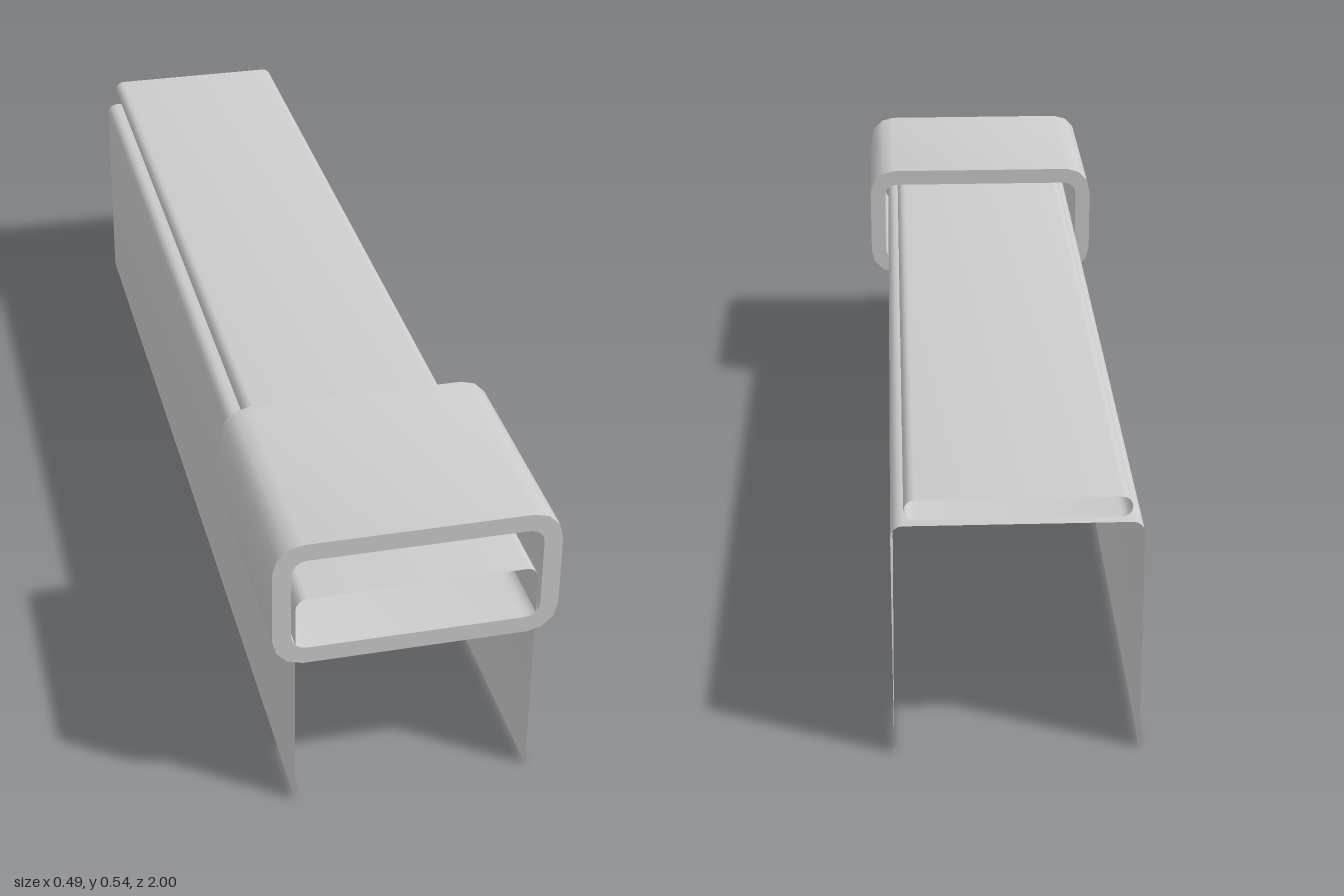
import * as THREE from 'three';
import { toCreasedNormals } from 'three/addons/utils/BufferGeometryUtils.js';

const solid = new THREE.MeshStandardMaterial({ color: 0xcccccc });
const sheet = new THREE.MeshStandardMaterial({ color: 0xcccccc, side: THREE.DoubleSide });

// points along an arc in the xy plane
function arc(cx, cy, r, from, to, steps) {
  return Array.from({ length: steps + 1 }, (_, i) => {
    const a = from + ((to - from) * i) / steps;
    return new THREE.Vector2(cx + r * Math.cos(a), cy + r * Math.sin(a));
  });
}

// counter-clockwise rounded rectangle
function roundedRect(halfW, y0, y1, r, steps) {
  const q = Math.PI / 2;
  const centres = [[halfW - r, y1 - r], [r - halfW, y1 - r], [r - halfW, y0 + r], [halfW - r, y0 + r]];
  return centres.flatMap(([x, y], i) => arc(x, y, r, i * q, (i + 1) * q, steps));
}

// thin surface: a profile carried along z, with open ends
function sweep(profile, z0, z1) {
  const pos = [], idx = [];
  profile.forEach((p, i) => {
    pos.push(p.x, p.y, z0, p.x, p.y, z1);
    if (i) {
      const a = 2 * (i - 1);
      idx.push(a, a + 1, a + 2, a + 1, a + 3, a + 2);
    }
  });
  const geo = new THREE.BufferGeometry();
  geo.setAttribute('position', new THREE.Float32BufferAttribute(pos, 3));
  geo.setIndex(idx);
  return toCreasedNormals(geo, 0.6);
}

export function createModel() {
  const group = new THREE.Group();
  const add = (name, geometry, material) => {
    const mesh = new THREE.Mesh(geometry, material);
    mesh.name = name;
    group.add(mesh);
  };

  // inverted U channel, open below and at both ends
  const w = 0.208, top = 0.426, r = 0.02;
  add('channel', sweep([
    new THREE.Vector2(w, 0),
    ...arc(w - r, top - r, r, 0, Math.PI / 2, 4),
    ...arc(r - w, top - r, r, Math.PI / 2, Math.PI, 4),
    new THREE.Vector2(-w, 0),
  ], -0.99, 1), sheet);

  // hollow flat strip with rounded edges, lying just above the channel
  const strip = roundedRect(0.186, 0.441, 0.477, 0.0179, 4);
  add('strip', sweep([...strip, strip[0]], -1, 0.7), sheet);

  // thick sleeve around the front end
  const shape = new THREE.Shape(roundedRect(0.247, 0.295, 0.535, 0.052, 3));
  shape.holes.push(new THREE.Path(roundedRect(0.215, 0.326, 0.503, 0.026, 4).reverse()));
  const sleeve = new THREE.ExtrudeGeometry(shape, { depth: 0.428, bevelEnabled: false });
  sleeve.translate(0, 0, 0.572);
  add('sleeve', toCreasedNormals(sleeve, 0.6), solid);

  return group;
}
